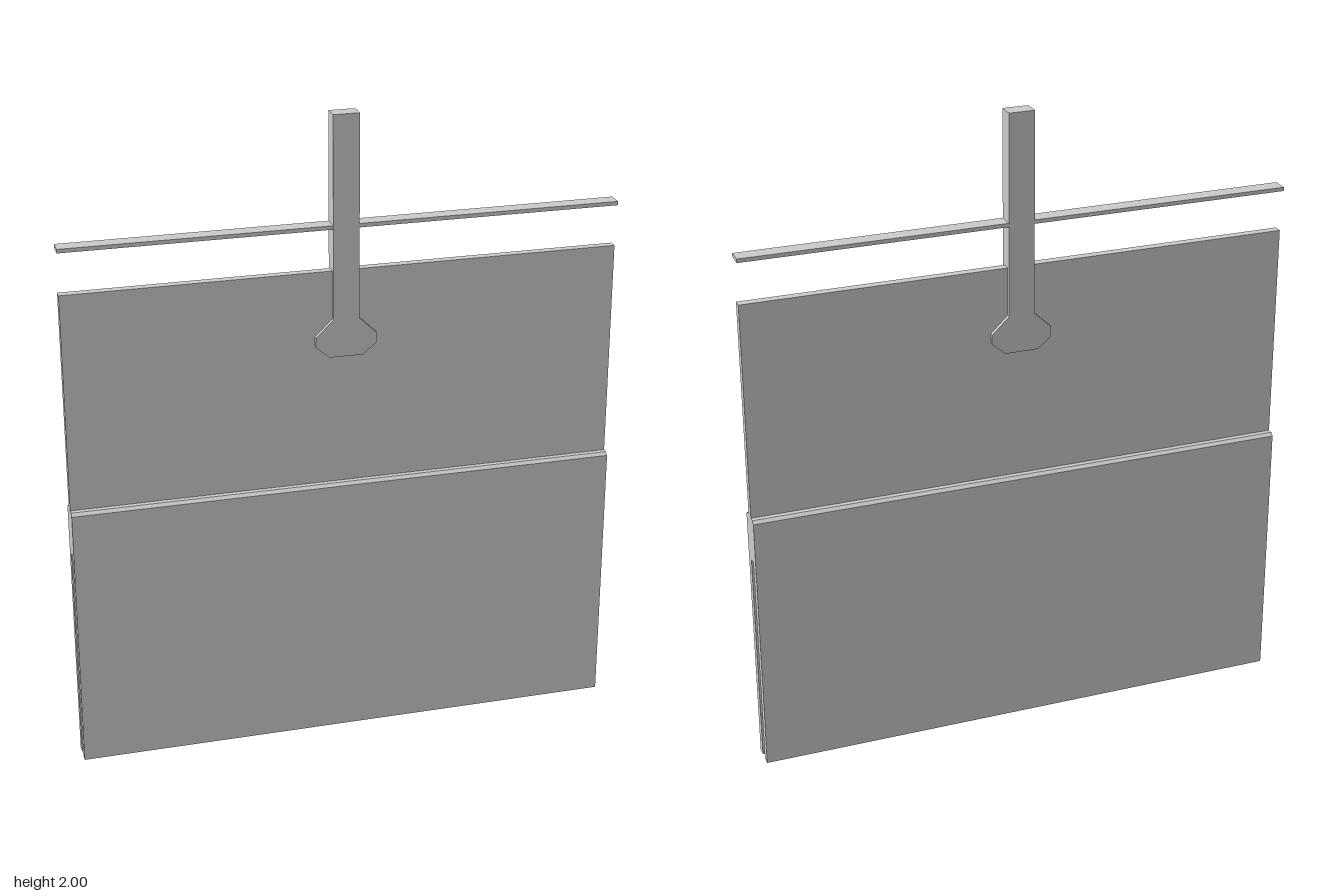
import * as THREE from 'three';

const WIDTH = 1.7;

export function createModel() {
  const model = new THREE.Group();
  const material = new THREE.MeshStandardMaterial({ color: 0xcccccc, flatShading: true });

  function add(name, geometry) {
    const mesh = new THREE.Mesh(geometry, material);
    mesh.name = name;
    model.add(mesh);
    return mesh;
  }

  // Extrude a closed outline, centred on its depth
  function extrude(points, depth) {
    const shape = new THREE.Shape(points.map(([x, y]) => new THREE.Vector2(x, y)));
    const geometry = new THREE.ExtrudeGeometry(shape, { depth, bevelEnabled: false });
    return geometry.translate(0, 0, -depth / 2);
  }

  // Mirror half an outline across x = 0
  const mirrored = (half) => [...half, ...half.map(([x, y]) => [-x, y]).reverse()];

  // Blade: slotted lower jaws, bevelled shoulders and a thin upper plate
  const blade = mirrored([
    [0.012, 0.695], [0.012, 0], [0.04, 0], [0.04, 0.837],
    [0.03, 0.846], [0.0135, 0.846], [0.0135, 1.525],
  ]);
  add('blade', extrude(blade, WIDTH).rotateY(Math.PI / 2));

  // Upright handle widening to a faceted foot
  const handle = mirrored([
    [0.052, 1.257], [0.094, 1.293], [0.094, 1.323], [0.04, 1.375], [0.04, 2],
  ]);
  add('handle', extrude(handle, 0.052));

  // Thin crossbar through the handle
  add('crossbar', new THREE.BoxGeometry(WIDTH, 0.012, 0.05)).position.y = 1.662;

  return model;
}
